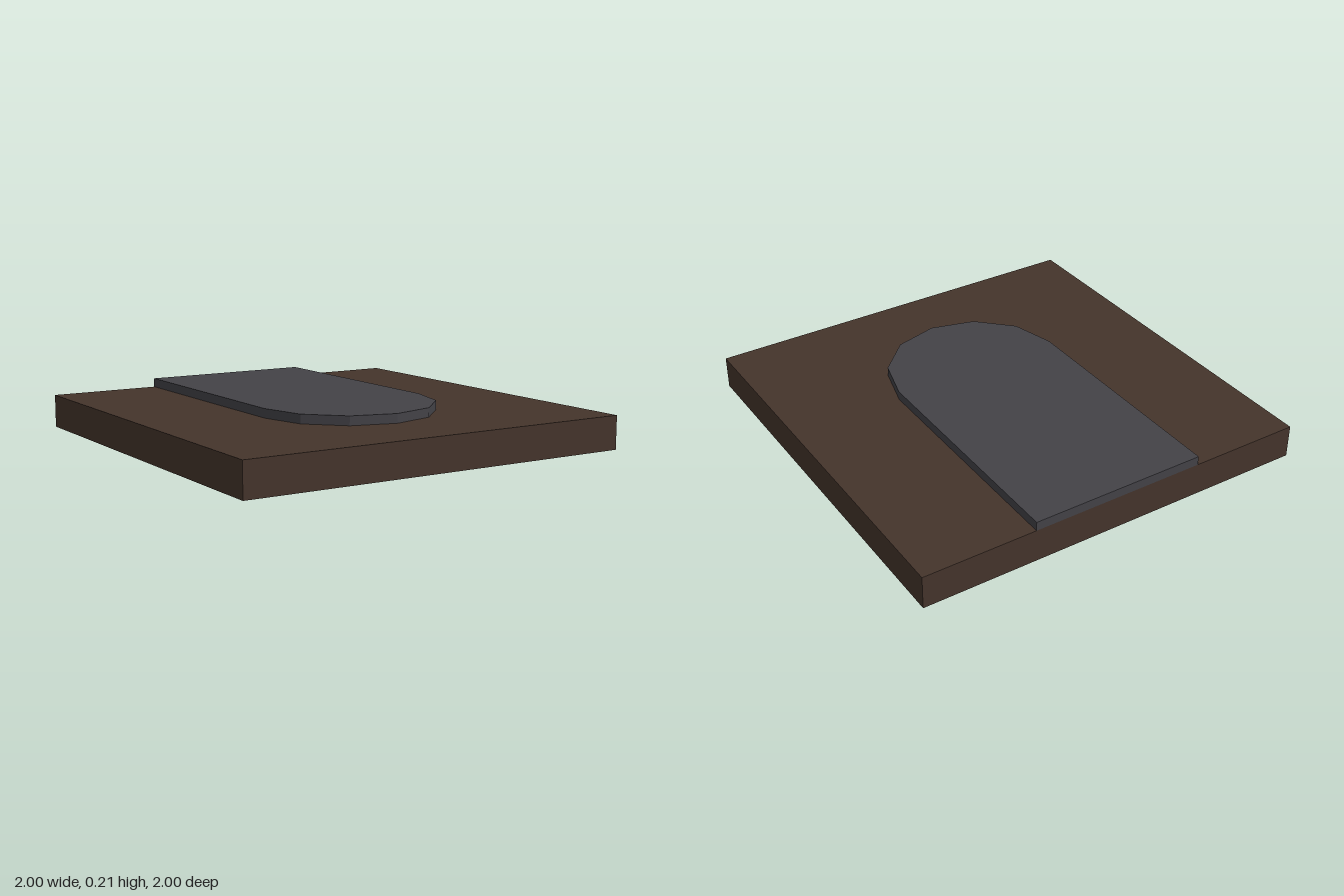
import * as THREE from 'three';

const BASE_HEIGHT = 0.165;
const SLAB_HEIGHT = 0.045;
const SLAB_RADIUS = 0.44;
const ARC_CENTRE_Z = 0.195;
const ARC_SIDES = 6;

export function createModel() {
  const model = new THREE.Group();
  model.name = 'pathEndTile';

  const earth = new THREE.MeshStandardMaterial({ name: 'dark brown earth', color: 0x44342b });
  const stone = new THREE.MeshStandardMaterial({ name: 'dark grey paving', color: 0x434247 });
  earth.flatShading = stone.flatShading = true;

  // Square ground tile
  const base = new THREE.Mesh(new THREE.BoxGeometry(2, BASE_HEIGHT, 2), earth);
  base.name = 'groundTile';
  base.position.y = BASE_HEIGHT / 2;
  model.add(base);

  // Raised path: straight from the back edge, ending in a faceted half circle
  const outline = [new THREE.Vector2(-SLAB_RADIUS, 1)];
  for (let i = 0; i <= ARC_SIDES; i++) {
    const a = Math.PI * (1 + i / ARC_SIDES);
    outline.push(new THREE.Vector2(SLAB_RADIUS * Math.cos(a), SLAB_RADIUS * Math.sin(a) - ARC_CENTRE_Z));
  }
  outline.push(new THREE.Vector2(SLAB_RADIUS, 1));
  const pathGeometry = new THREE.ExtrudeGeometry(new THREE.Shape(outline), {
    depth: SLAB_HEIGHT,
    bevelEnabled: false,
  });
  pathGeometry.rotateX(-Math.PI / 2);
  const path = new THREE.Mesh(pathGeometry, stone);
  path.name = 'raisedPath';
  path.position.y = BASE_HEIGHT;
  model.add(path);

  return model;
}
